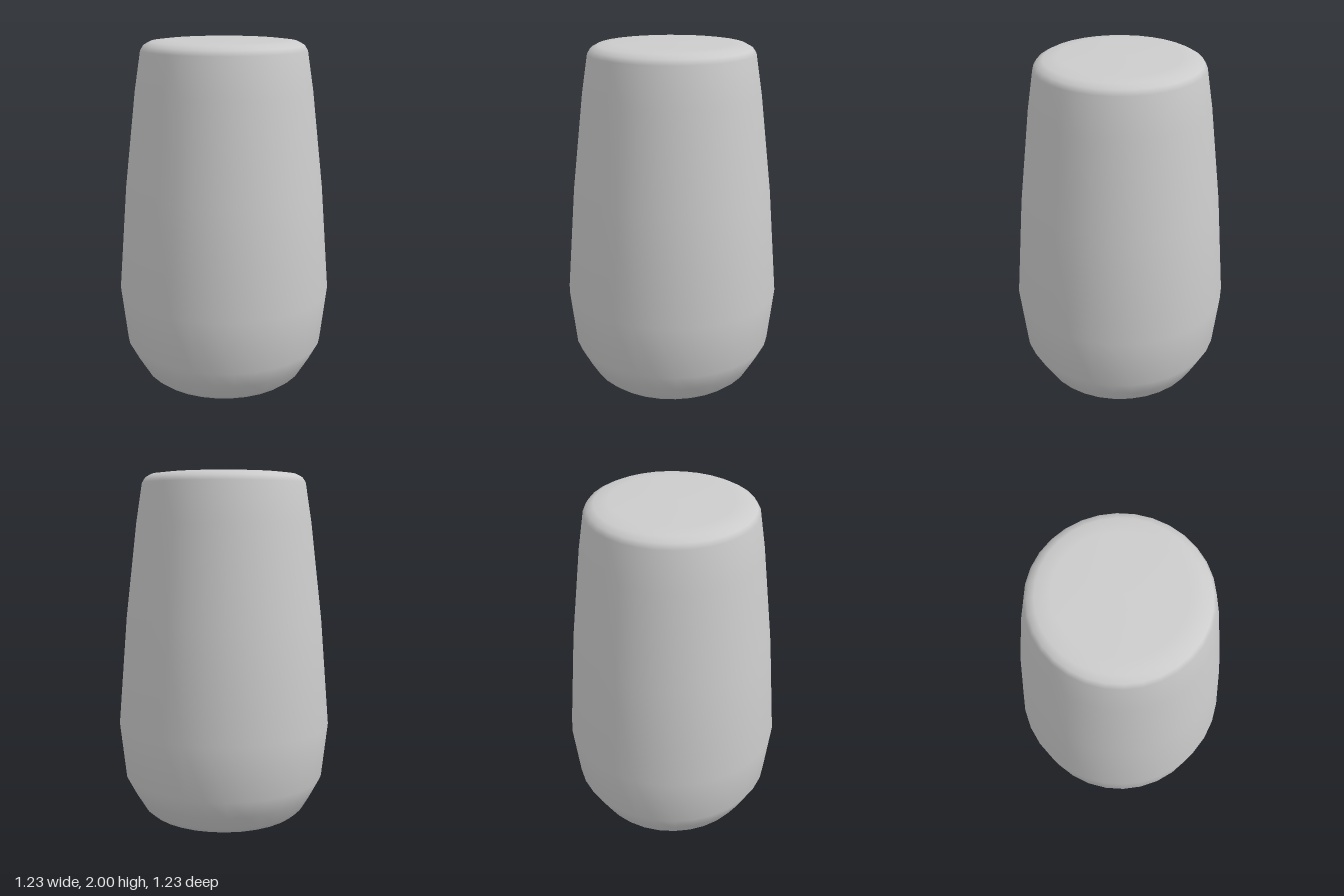
import * as THREE from 'three';

export function createModel() {
  const group = new THREE.Group();
  const material = new THREE.MeshStandardMaterial({ color: 0xcccccc });

  // Closed outline from the centre of the base up to the centre of the top: [radius, height]
  const outline = [
    [0, 0], [0.3, 0.005], [0.4, 0.013], [0.44, 0.027], [0.475, 0.057],
    [0.525, 0.14], [0.58, 0.245], [0.615, 0.56], [0.565, 1.17], [0.5, 1.72],
    [0.465, 1.94], [0.447, 1.968], [0.41, 1.988], [0.33, 1.997], [0, 2],
  ].map(([r, y]) => new THREE.Vector2(r, y));

  // Tapered round body with softened rims
  const body = new THREE.Mesh(new THREE.LatheGeometry(outline, 32), material);
  body.name = 'body';
  group.add(body);
  return group;
}
